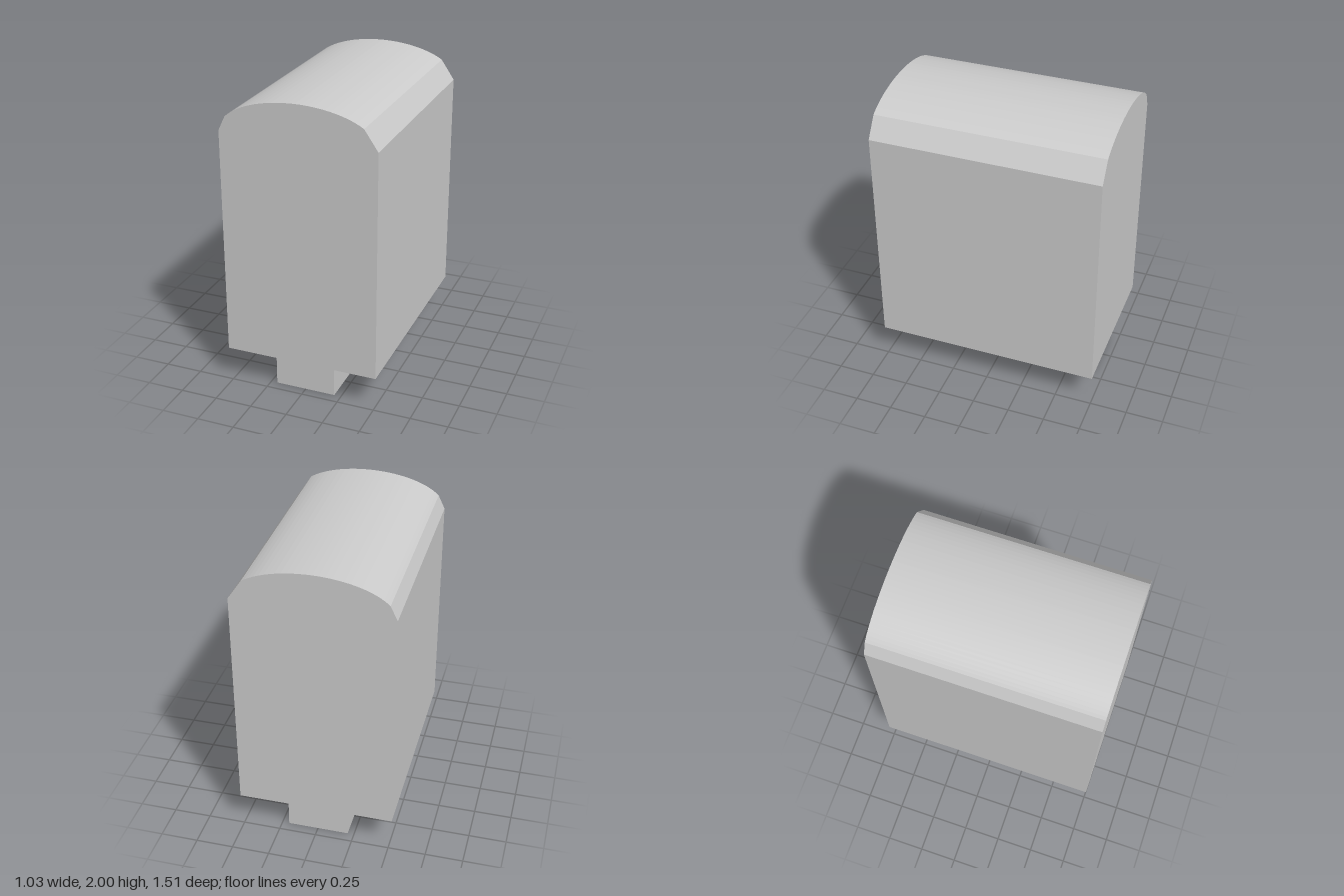
import * as THREE from 'three';

const LEFT = -0.52, RIGHT = 0.515, HALF_DEPTH = 0.755, BODY_BOTTOM = 0.24, EAVES = 1.77;

export function createModel() {
  const model = new THREE.Group();
  const material = new THREE.MeshStandardMaterial({ color: 0xcccccc, flatShading: true });

  const add = (name, geometry) => {
    const mesh = new THREE.Mesh(geometry, material);
    mesh.name = name;
    model.add(mesh);
    return mesh;
  };

  // Box given by its x and y limits and half depth
  const addBox = (name, x0, x1, y0, y1, halfDepth) => {
    const box = add(name, new THREE.BoxGeometry(x1 - x0, y1 - y0, 2 * halfDepth));
    box.position.set((x0 + x1) / 2, (y0 + y1) / 2, 0);
  };

  addBox('foot', -0.207, 0.203, 0, BODY_BOTTOM, 0.682);
  addBox('body', LEFT, RIGHT, BODY_BOTTOM, EAVES, HALF_DEPTH);

  // Arched roof: elliptical crown with a wide chamfer on +x and a narrow one on -x
  const profile = new THREE.Shape();
  profile.moveTo(LEFT, EAVES);
  profile.lineTo(RIGHT, EAVES);
  const start = THREE.MathUtils.degToRad(35.2);
  const end = THREE.MathUtils.degToRad(156);
  const steps = 28;
  for (let i = 0; i <= steps; i++) {
    const a = start + (end - start) * i / steps;
    profile.lineTo(0.52 * Math.cos(a), EAVES + 0.23 * Math.sin(a));
  }
  profile.closePath();
  const roof = new THREE.ExtrudeGeometry(profile, { depth: 2 * HALF_DEPTH, bevelEnabled: false });
  roof.translate(0, 0, -HALF_DEPTH);
  add('roof', roof);

  return model;
}
